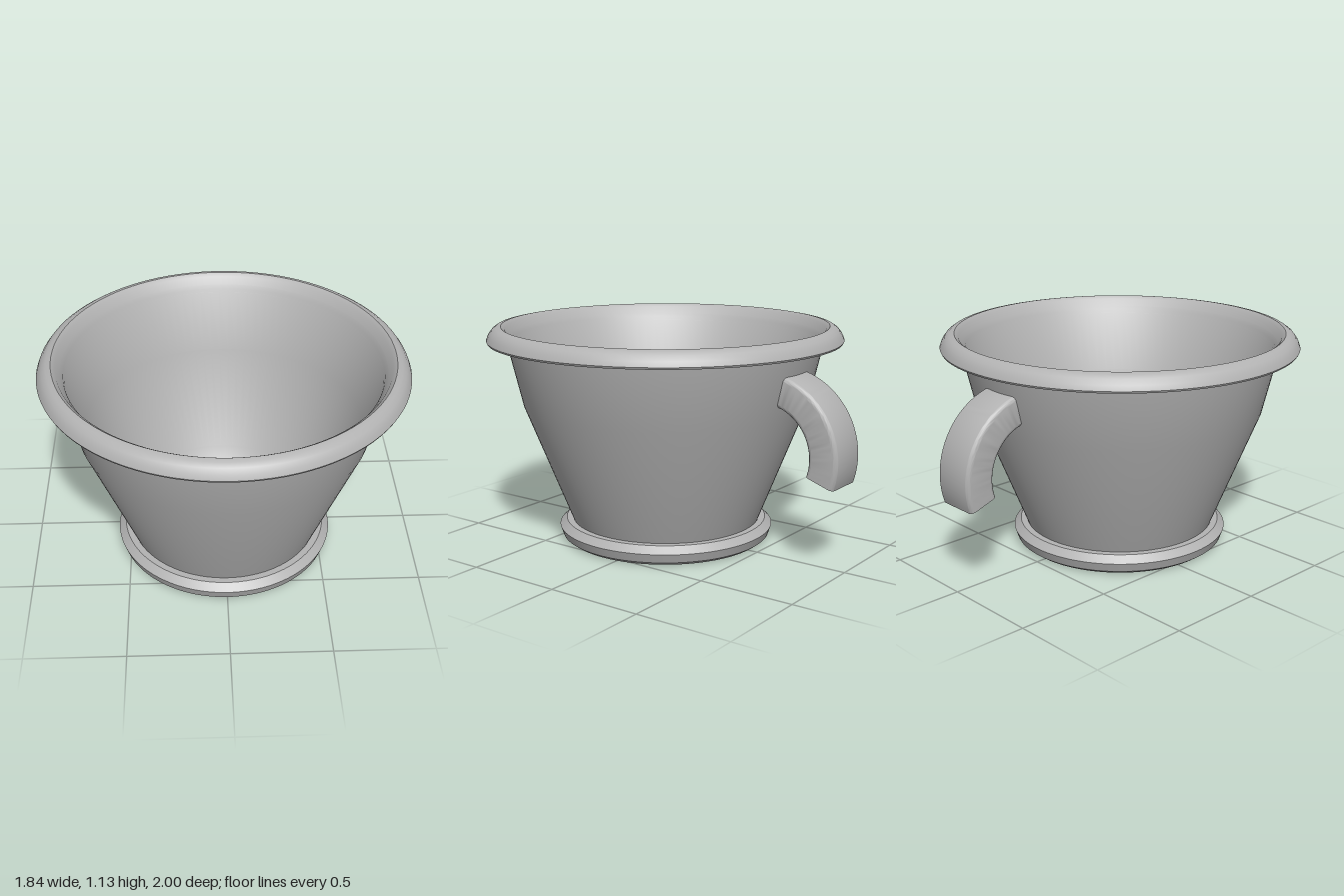
import * as THREE from 'three';
import { toCreasedNormals } from 'three/addons/utils/BufferGeometryUtils.js';

export function createModel() {
  const grey = new THREE.MeshStandardMaterial({ color: 0xb3b3b3 });
  grey.name = 'plain grey';
  const model = new THREE.Group();
  model.name = 'cup';
  const cupZ = 0.08;

  const add = (name, geometry, y = 0, z = cupZ, parent = model) => {
    const mesh = new THREE.Mesh(geometry, grey);
    mesh.name = name;
    mesh.position.set(0, y, z);
    parent.add(mesh);
  };
  const turned = (profile, crease = 0.5) =>
    toCreasedNormals(new THREE.LatheGeometry(profile.map(([r, y]) => new THREE.Vector2(r, y)), 96), crease);

  // Foot with bevelled edges
  add('foot', turned([
    [0, 0], [0.525, 0], [0.55, 0.018], [0.566, 0.065], [0.53, 0.1], [0.47, 0.1],
  ]));

  // Bowl: outer wall, then down the inner wall to the rounded floor
  add('bowl', turned([
    [0.49, 0.085], [0.74, 0.72], [0.82, 1.06], [0.825, 1.1], [0.79, 1.06],
    [0.71, 0.72], [0.5, 0.2], [0.46, 0.14], [0.4, 0.112], [0.3, 0.1], [0, 0.1],
  ]));

  // Rolled rim with a flat underside and a bevelled inner edge
  add('rim', turned([
    [0.8, 1.055], [0.915, 1.05], [0.92, 1.06], [0.91, 1.085], [0.892, 1.11],
    [0.87, 1.125], [0.845, 1.13], [0.825, 1.115], [0.785, 1.04],
  ]));

  // Handle: rounded rectangle swept along an arc, open at the wall
  const inner = 0.243, outer = 0.4, half = 0.117, c = 0.025;
  const section = new THREE.Shape();
  section.absarc(outer - c, -half + c, c, -Math.PI / 2, 0);
  section.absarc(outer - c, half - c, c, 0, Math.PI / 2);
  section.absarc(inner + c, half - c, c, Math.PI / 2, Math.PI);
  section.absarc(inner + c, -half + c, c, Math.PI, Math.PI * 1.5);
  section.closePath();
  const start = Math.PI - 0.33, sweep = 0.33 + 1.35;
  const handle = new THREE.Group();
  handle.name = 'handle';
  handle.position.set(0, 0.56, -0.6);
  model.add(handle);
  const arc = new THREE.LatheGeometry(section.getPoints(6), 32, start, sweep).rotateZ(-Math.PI / 2);
  add('handleArc', toCreasedNormals(arc, 0.6), 0, 0, handle);
  const cap = new THREE.ShapeGeometry(section, 6).rotateY(start - Math.PI / 2).rotateZ(-Math.PI / 2);
  add('handleEnd', cap, 0, 0, handle);

  return model;
}
